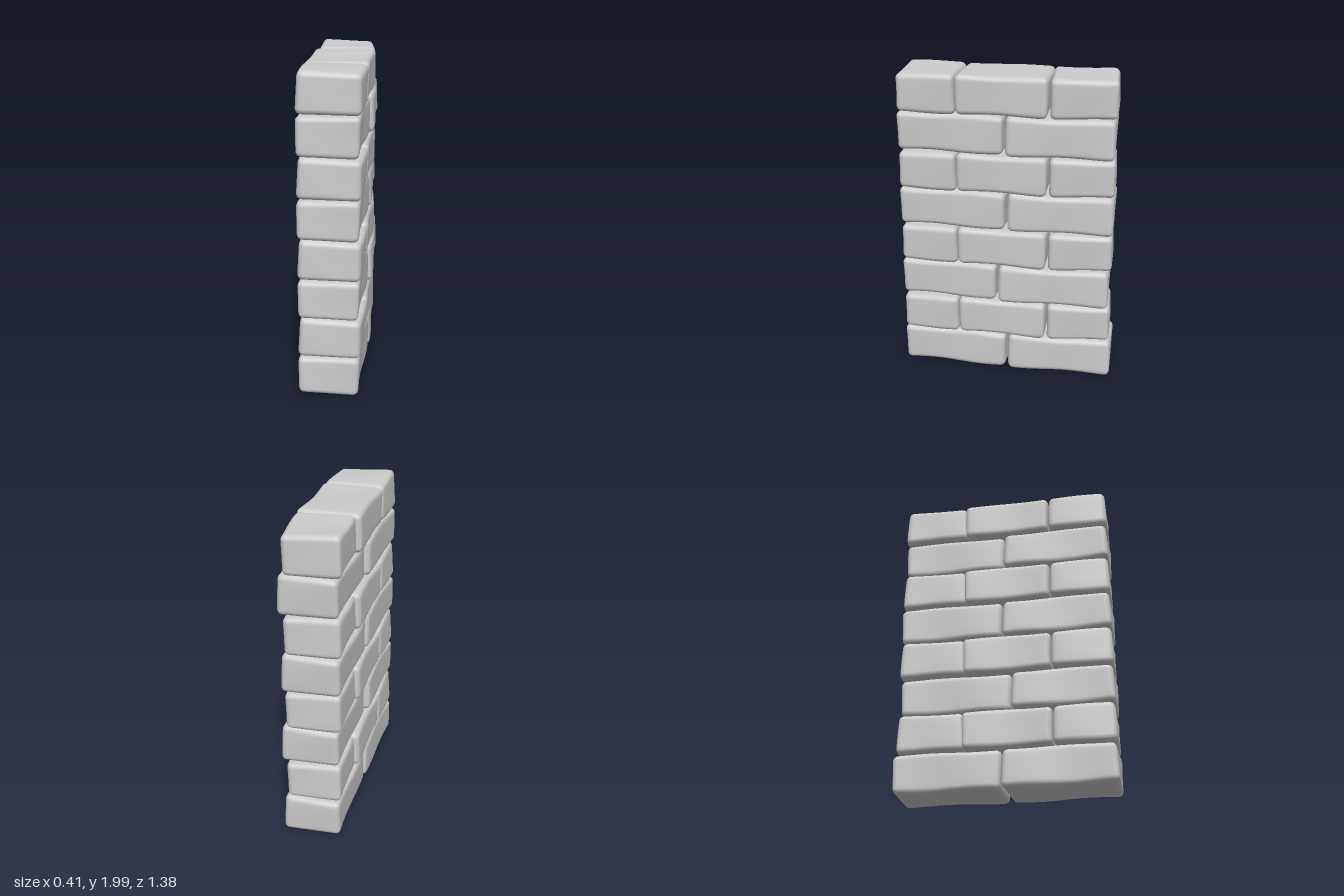
import * as THREE from 'three';
import { mergeVertices } from 'three/addons/utils/BufferGeometryUtils.js';

const material = new THREE.MeshStandardMaterial({ color: 0xcccccc });
const RADIUS = 0.034;

// Spread grid lines so that two of them fall inside each rounded edge
function gridLine(t, n, half) {
  const i = Math.round((t + 0.5) * n);
  const k = Math.min(i, n - i);
  const inner = half - RADIUS;
  const sign = i < n / 2 ? -1 : 1;
  if (k < 3) return sign * (half - RADIUS * k / 3);
  return n === 6 ? 0 : inner * (2 * (i - 3) / (n - 6) - 1);
}

// Hand-hewn brick: rounded block with gently worn, uneven faces
function brickGeometry(w, h, d, seed) {
  const n = [11, 10, 18];
  let geo = new THREE.BoxGeometry(1, 1, 1, ...n);
  geo.deleteAttribute('uv');
  geo.deleteAttribute('normal');
  geo = mergeVertices(geo);
  const half = new THREE.Vector3(w / 2, h / 2, d / 2);
  const inner = half.clone().subScalar(RADIUS);
  const p = new THREE.Vector3(), core = new THREE.Vector3();
  const pos = geo.attributes.position;
  for (let i = 0; i < pos.count; i++) {
    p.fromBufferAttribute(pos, i);
    p.set(gridLine(p.x, n[0], half.x), gridLine(p.y, n[1], half.y), gridLine(p.z, n[2], half.z));
    core.copy(p).clamp(inner.clone().negate(), inner);
    p.sub(core).setLength(RADIUS).add(core);
    // Broad waves along the long faces, smaller ones on top and ends
    const { x, y, z } = p;
    p.x += 0.006 * Math.sin(9 * z + 5 * y + seed * 2.1) * Math.sign(x);
    p.y += 0.004 * Math.sin(11 * z + 6 * x + seed * 1.7) * (y / half.y);
    p.z += 0.005 * Math.sin(10 * y + 7 * x + seed * 3.3) * (z / half.z);
    pos.setXYZ(i, p.x, p.y, p.z);
  }
  geo.computeVertexNormals();
  return geo;
}

export function createModel() {
  const wall = new THREE.Group();
  wall.name = 'brickWall';

  // Each brick: front z, back z, x centre, width, turn about y, tilt about z
  const threeBricks = [
    [0.68, 0.308, -0.004, 0.375, 0, -0.035],
    [0.302, -0.258, -0.002, 0.385, 0, -0.01],
    [-0.262, -0.672, -0.008, 0.35, 0.075, -0.03],
  ];
  const twoBricks = (joint, end, shift) => [
    [0.683, joint + 0.006, -0.008, 0.36, -0.012, -0.01],
    [joint - 0.008, end, shift, 0.36, 0.025, 0.01],
  ];
  const rows = [
    twoBricks(-0.012, -0.685, -0.004), threeBricks,
    twoBricks(0.05, -0.657, 0.012), threeBricks,
    twoBricks(-0.008, -0.672, -0.002), threeBricks,
    twoBricks(0.003, -0.664, 0.012), threeBricks,
  ];

  rows.forEach((bricks, r) => {
    const course = new THREE.Group();
    course.name = `course${r + 1}`;
    course.position.y = 0.13 + r * 0.2475;
    bricks.forEach(([front, back, x, width, turn, tilt], b) => {
      const seed = r % 2 ? b + 1 : b + 5;
      const brick = new THREE.Mesh(brickGeometry(width, 0.243, front - back, seed), material);
      brick.name = `brick${r + 1}_${b + 1}`;
      brick.position.set(x, 0, (front + back) / 2);
      brick.rotation.set(0, turn, tilt);
      course.add(brick);
    });
    wall.add(course);
  });
  return wall;
}
